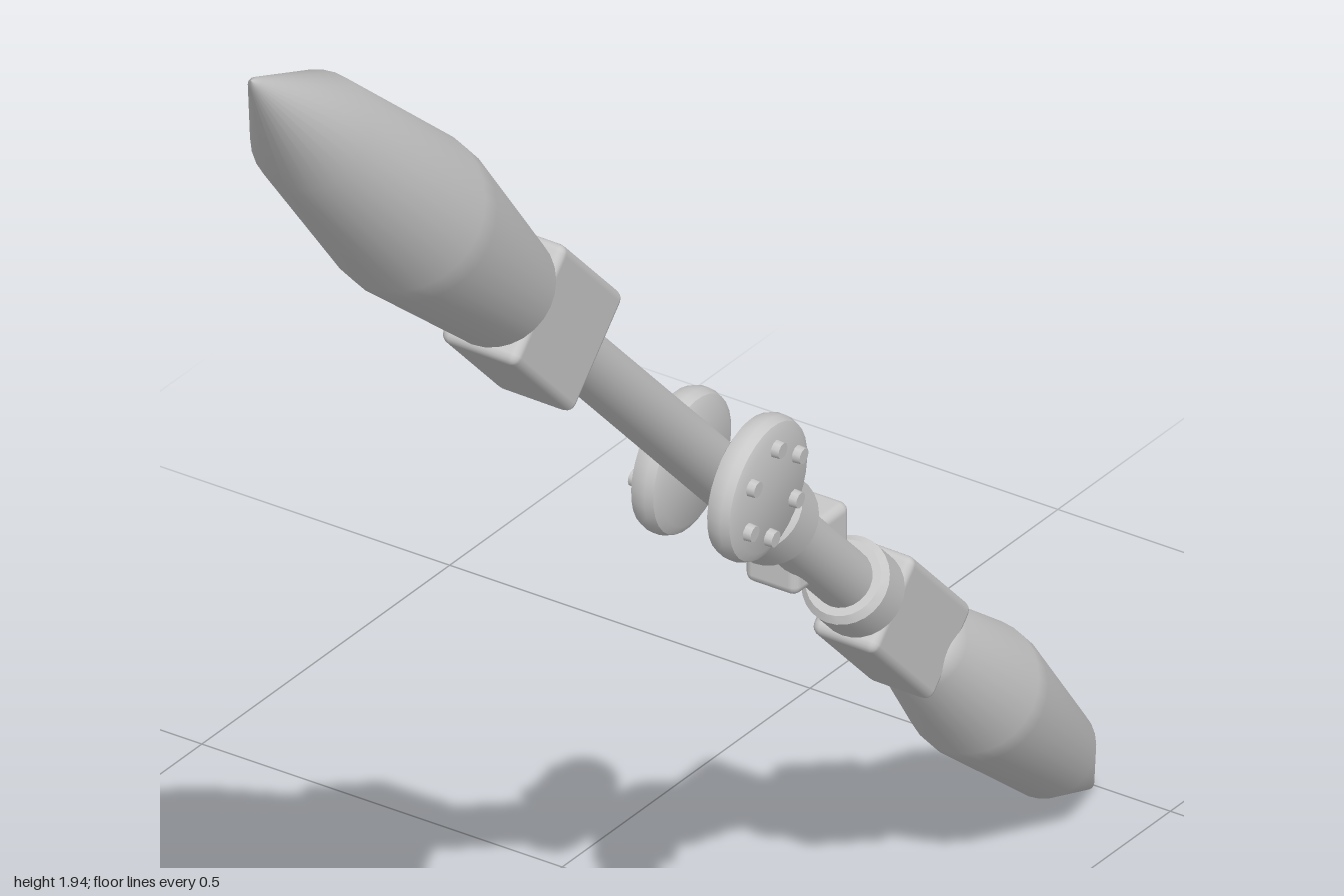
import * as THREE from 'three';
import { toCreasedNormals } from 'three/addons/utils/BufferGeometryUtils.js';
import { RoundedBoxGeometry } from 'three/addons/geometries/RoundedBoxGeometry.js';

export function createModel() {
  const metal = new THREE.MeshStandardMaterial({ color: 0xc8c8c8 });
  metal.name = 'light grey';

  const model = new THREE.Group();
  model.name = 'doubleBladedStaff';

  // Shaft frame: local y runs along the staff, local x is its sideways axis
  const along = new THREE.Vector3(0.075, 0.694, 0.716).normalize();
  const side = new THREE.Vector3(1, 0, 0).addScaledVector(along, -along.x).normalize();
  const staff = new THREE.Group();
  staff.name = 'staff';
  staff.quaternion.setFromRotationMatrix(
    new THREE.Matrix4().makeBasis(side, along, new THREE.Vector3().crossVectors(side, along)));
  staff.position.set(-0.005, 0.974, 0);
  model.add(staff);

  const add = (parent, name, geometry, x = 0, y = 0, z = 0) => {
    const mesh = new THREE.Mesh(geometry, metal);
    mesh.name = name;
    mesh.position.set(x, y, z);
    parent.add(mesh);
    return mesh;
  };
  // Turned part from [radius, height] pairs, listed from low to high
  const turned = (pairs, segments = 28) =>
    new THREE.LatheGeometry(pairs.map(([r, y]) => new THREE.Vector2(r, y)), segments);

  // Shaft
  add(staff, 'shaft', new THREE.CylinderGeometry(0.036, 0.036, 1.06, 24), 0, -0.13, 0);

  // Blades: spindle shapes with pointed tips
  add(staff, 'upperBlade', turned([
    [0, 0.545], [0.05, 0.55], [0.072, 0.578], [0.1, 0.85], [0.1, 0.89],
    [0.073, 1.2], [0.008, 1.385], [0, 1.396]]));
  add(staff, 'lowerBlade', turned([
    [0, -1.392], [0.008, -1.385], [0.058, -1.255], [0.082, -1.03], [0.082, -1.0],
    [0.057, -0.83], [0.04, -0.805], [0, -0.8]]));

  // Blade sockets
  add(staff, 'upperSocket', new RoundedBoxGeometry(0.104, 0.2, 0.152, 2, 0.012), 0, 0.463, 0);
  add(staff, 'lowerSocket', new RoundedBoxGeometry(0.088, 0.2, 0.122, 2, 0.012), 0, -0.732, 0);

  // Collars with bevelled rims
  const collar = (name, y, r, h) => add(staff, name, toCreasedNormals(turned([
    [0, -h / 2], [r - 0.008, -h / 2], [r, -h / 2 + 0.008],
    [r, h / 2 - 0.008], [r - 0.008, h / 2], [0, h / 2]]), 0.5), 0, y, 0);
  collar('lowerCollar', -0.605, 0.054, 0.066);
  collar('middleCollar', -0.312, 0.056, 0.07);
  collar('middleCollarRing', -0.268, 0.046, 0.04);

  // Pair of round hub plates, each with six studs
  for (const turn of [0, Math.PI]) {
    const hub = new THREE.Group();
    hub.name = turn ? 'rightHub' : 'leftHub';
    hub.position.y = -0.16;
    hub.rotation.y = turn;
    staff.add(hub);
    const plate = add(hub, 'hubPlate', toCreasedNormals(turned([
      [0, 0.03], [0.074, 0.03], [0.085, 0.036], [0.089, 0.046],
      [0.089, 0.056], [0.085, 0.066], [0.074, 0.071], [0, 0.071]], 32), 0.6));
    plate.rotation.z = -Math.PI / 2;
    for (let i = 0; i < 6; i++) {
      const a = i * Math.PI / 3 + 0.2;
      const stud = add(hub, 'hubStud', new THREE.CylinderGeometry(0.01, 0.011, 0.012, 10),
        0.075, 0.058 * Math.cos(a), 0.058 * Math.sin(a));
      stud.rotation.z = -Math.PI / 2;
    }
  }
  const pin = add(staff, 'hubPin', new THREE.CylinderGeometry(0.025, 0.025, 0.09, 16), 0, -0.16, 0);
  pin.rotation.z = Math.PI / 2;

  // Small switch block on the right of the shaft, squared to the world axes
  add(model, 'switchBlock', new RoundedBoxGeometry(0.074, 0.078, 0.112, 2, 0.012), -0.069, 0.648, -0.347);

  return model;
}
